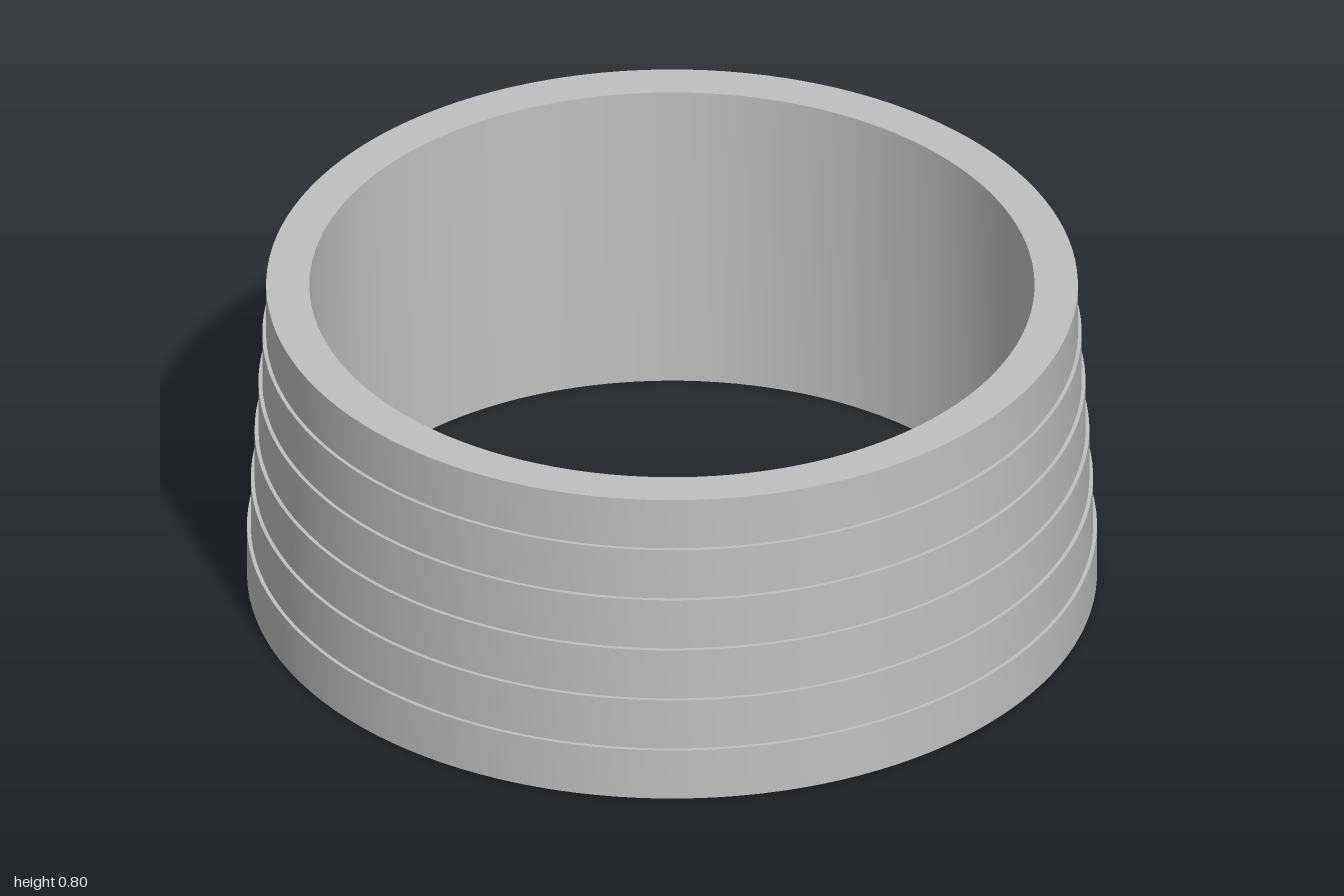
import * as THREE from 'three';
import { toCreasedNormals } from 'three/addons/utils/BufferGeometryUtils.js';

export function createModel() {
  const group = new THREE.Group();
  group.name = 'steppedRing';
  const grey = new THREE.MeshStandardMaterial({ color: 0xc0c0c0 });
  grey.name = 'light grey';

  const height = 0.8, bore = 0.853, steps = 6, stepDepth = 0.009;

  // Cross-section: flat base, stepped outer wall, flat rim, straight bore
  const profile = [new THREE.Vector2(bore, 0)];
  for (let i = 0; i < steps; i++) {
    const r = 1 - i * stepDepth;
    profile.push(new THREE.Vector2(r, (i * height) / steps));
    profile.push(new THREE.Vector2(r, ((i + 1) * height) / steps));
  }
  profile.push(new THREE.Vector2(bore, height), new THREE.Vector2(bore, 0));

  // Smooth around the ring, sharp at every step
  const geometry = toCreasedNormals(new THREE.LatheGeometry(profile, 128), 0.6);
  const ring = new THREE.Mesh(geometry, grey);
  ring.name = 'ringWall';
  group.add(ring);
  return group;
}
